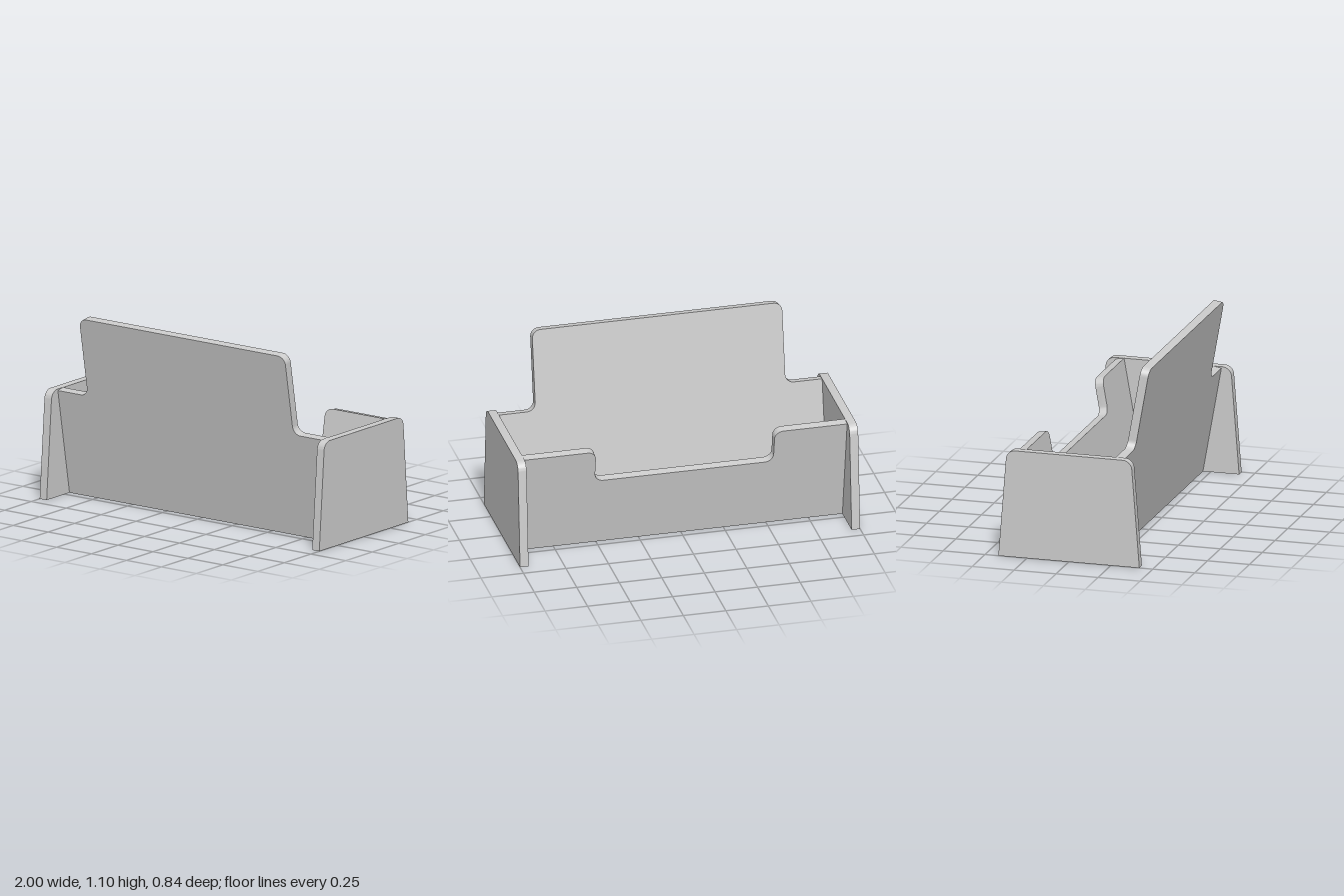
import * as THREE from 'three';
import { toCreasedNormals } from 'three/addons/utils/BufferGeometryUtils.js';

const LEAN = THREE.MathUtils.degToRad(10); // outward lean of the long panels
const T = 0.05; // board thickness
const INNER = 0.154; // inner face of the long panels at ground level
const HALF = 0.95; // inner face of the end plates

const material = new THREE.MeshStandardMaterial({ color: 0xcccccc });

// Closed outline from [x, y, cornerRadius] points
function roundedShape(points) {
  const shape = new THREE.Shape();
  const n = points.length;
  const toward = (a, b, d) => a.clone().add(b.clone().sub(a).setLength(d));
  const at = (i) => new THREE.Vector2(...points[(i + n) % n].slice(0, 2));
  points.forEach(([, , r = 0], i) => {
    const p = at(i);
    const move = (q) => (i === 0 ? shape.moveTo(q.x, q.y) : shape.lineTo(q.x, q.y));
    if (!r) return move(p);
    const a = toward(p, at(i - 1), r), b = toward(p, at(i + 1), r);
    const c1 = a.clone().lerp(p, 0.552), c2 = b.clone().lerp(p, 0.552);
    move(a);
    shape.bezierCurveTo(c1.x, c1.y, c2.x, c2.y, b.x, b.y);
  });
  shape.closePath();
  return shape;
}

// Outline mirrored about x = 0 from its right half, listed bottom to top
function mirrored(half) {
  return roundedShape([...half, ...half.map(([x, y, r]) => [-x, y, r]).reverse()]);
}

function extrude(shape, depth) {
  return new THREE.ExtrudeGeometry(shape, { depth, bevelEnabled: false, curveSegments: 10 });
}

function addMesh(group, name, geometry) {
  const mesh = new THREE.Mesh(toCreasedNormals(geometry, 0.6), material);
  mesh.name = name;
  group.add(mesh);
  return mesh;
}

// Panel leaning outward, its foot trimmed level with the ground
function leaningPanel(half) {
  const geometry = extrude(mirrored(half), T);
  geometry.rotateX(LEAN).translate(0, 0, INNER);
  const pos = geometry.attributes.position;
  for (let i = 0; i < pos.count; i++) {
    const y = pos.getY(i);
    if (y < 0.001) {
      pos.setZ(i, pos.getZ(i) - y * Math.tan(LEAN));
      pos.setY(i, 0);
    }
  }
  return geometry;
}

export function createModel() {
  const group = new THREE.Group();
  group.name = 'cardHolder';
  const up = (y) => y / Math.cos(LEAN); // height measured along the lean
  const rim = up(0.632);

  // Front panel with tall central tab
  addMesh(group, 'frontPanel', leaningPanel([
    [HALF, 0], [HALF, rim], [0.735, rim, 0.05], [0.735, up(1.105), 0.05],
  ]));

  // Back panel with wide notch in its rim
  const back = leaningPanel([
    [HALF, 0], [HALF, rim], [0.525, rim, 0.05], [0.525, up(0.43), 0.05],
  ]);
  addMesh(group, 'backPanel', back.rotateY(Math.PI));

  // Floor between the leaning panels
  const top = INNER + T * Math.tan(LEAN);
  const floor = extrude(mirrored([[INNER, 0], [top, T]]), 2 * HALF);
  addMesh(group, 'floor', floor.rotateY(Math.PI / 2).translate(-HALF, 0, 0));

  // Tapered end plates
  for (const side of [1, -1]) {
    const plate = extrude(mirrored([[0.42, 0], [0.371, 0.632, 0.05]]), T);
    plate.rotateY(Math.PI / 2).translate(side > 0 ? HALF : -HALF - T, 0, 0);
    addMesh(group, side > 0 ? 'leftEndPlate' : 'rightEndPlate', plate);
  }
  return group;
}
